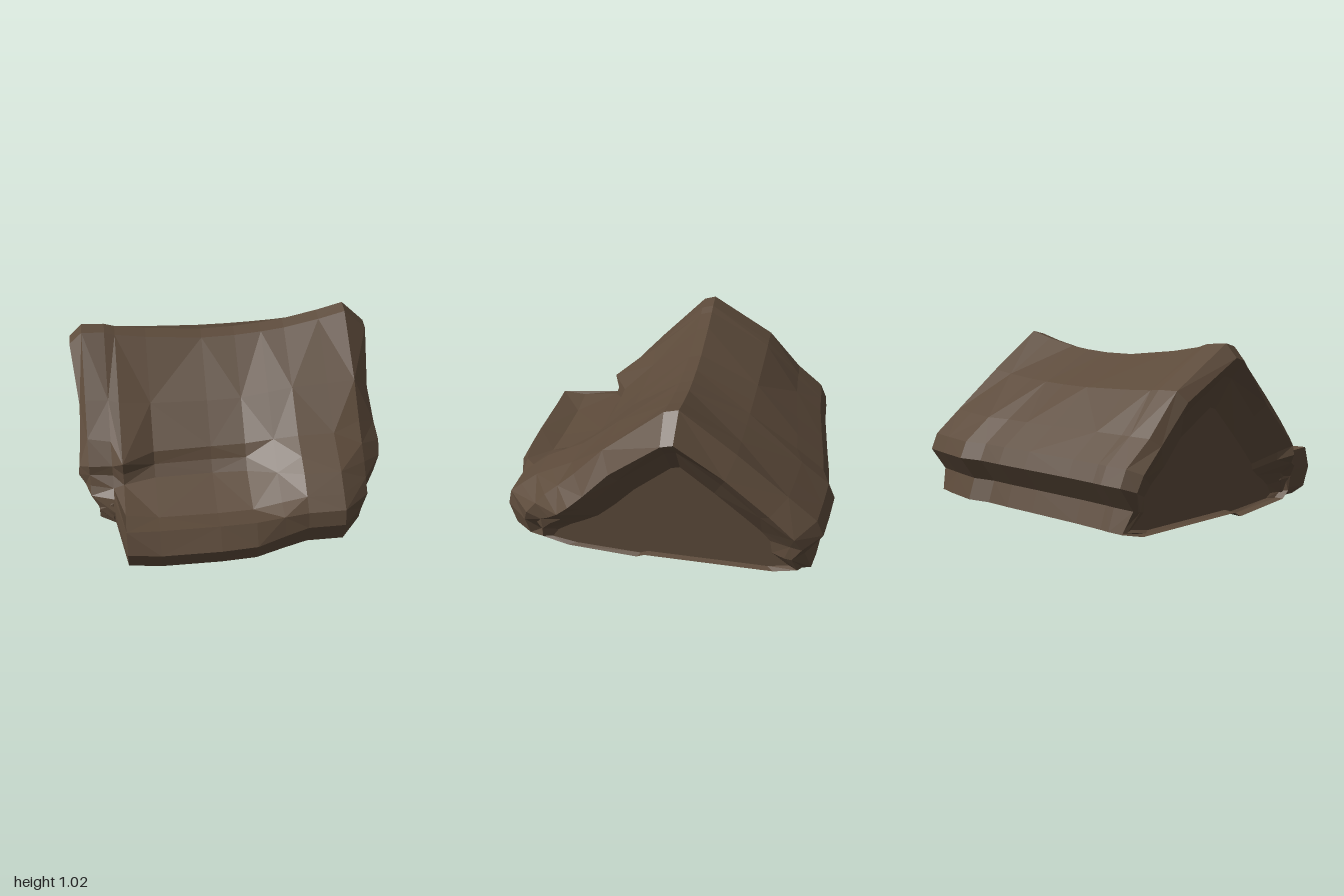
import * as THREE from 'three';

// Front half of a section as [z, y] pairs, from mid slope down to the underside
const LEDGE = [[.24, .66], [.43, .45], [.46, .38], [.51, .32], [.78, .245], [.93, .28], [1.0, .16], [.95, .04], [.8, 0]];
const CORNER = [[.27, .69], [.55, .455], [.53, .37], [.55, .31], [.78, .28], [.93, .29], [.97, .16], [.92, .04], [.8, .01]];
const CLOSED = [[.25, .72], [.48, .52], [.6, .46], [.7, .41], [.8, .33], [.87, .27], [.89, .18], [.85, .05], [.65, .02]];
const RIGHT = [[.25, .70], [.4, .54], [.5, .42], [.5, .36], [.52, .30], [.55, .25], [.57, .18], [.55, .09], [.5, .05]];
const LEFT = [[.25, .72], [.42, .55], [.52, .46], [.6, .39], [.66, .32], [.72, .25], [.75, .17], [.72, .08], [.55, .04]];
// Back half, from the underside up over the overhanging hem to the upper slope
const BACK = [[.1, .015], [.05, .045], [-.8, .05], [-.95, .09], [-.91, .21], [-1, .34], [-.96, .43], [-.8, .56], [-.48, .78]];

const mix = (a, b, t) => a.map((p, i) => [p[0] + (b[i][0] - p[0]) * t, p[1] + (b[i][1] - p[1]) * t]);

// One closed section across the ridge; sag lowers the slopes, backShift moves the rear hem
function section(x, ridge, front, backShift) {
  const drop = ridge - 1;
  const turn = (x + .8) / 1.55;
  const sag = ([z, y]) => [z, y > .5 ? y + drop * (y - .5) * 1.4 : y];
  const points = [
    [-.1 - .07 * turn, ridge], [-.03 - .06 * turn, ridge - .02],
    ...front.map(sag),
    ...BACK.map(([z, y]) => sag([z < -.7 ? z + backShift : z, y])),
  ];
  return points.map(([z, y]) => new THREE.Vector3(y < .2 && Math.abs(x) > .7 ? x * .95 : x, y, z));
}

// Shrink an end section into the turned rim or the recessed gable.
// Low points keep their depth; taper draws the foot, corners and waist inward.
function endRing(ring, x, scale, zCentre, taper) {
  return ring.map((p) => {
    const y = .08 + (p.y - .08) * scale;
    const low = Math.max(0, 1 - (p.y - .08) / .3);
    const zScale = scale + (1 - scale) * Math.min(low, 1) * .6;
    const z = zCentre + (p.z - zCentre) * zScale;
    const inward = .6 * Math.max(0, .33 - y) + .3 * Math.max(0, z - .42)
      + .35 * Math.max(0, -.8 - z) + .05 * Math.max(0, 1 - Math.abs(y - .6) / .25);
    return new THREE.Vector3(x - Math.sign(x) * inward * taper, y, z);
  });
}

// Join sections into one closed skin
function loft(rings) {
  const pos = [];
  const tri = (...v) => v.forEach((p) => pos.push(p.x, p.y, p.z));
  const n = rings[0].length;
  for (let i = 0; i < rings.length - 1; i++) {
    for (let j = 0; j < n; j++) {
      const k = (j + 1) % n;
      const a = rings[i][j], b = rings[i + 1][j], c = rings[i][k], d = rings[i + 1][k];
      if ((i + j) % 2) {
        tri(a, c, b);
        tri(b, c, d);
      } else {
        tri(a, c, d);
        tri(a, d, b);
      }
    }
  }
  // Gable walls
  [[rings[0], true], [rings[rings.length - 1], false]].forEach(([ring, flip]) => {
    const centre = new THREE.Vector3(ring[0].x, .25, -.15);
    for (let j = 0; j < n; j++) {
      const k = (j + 1) % n;
      if (flip) tri(centre, ring[k], ring[j]);
      else tri(centre, ring[j], ring[k]);
    }
  });
  const geometry = new THREE.BufferGeometry();
  geometry.setAttribute('position', new THREE.Float32BufferAttribute(pos, 3));
  geometry.computeVertexNormals();
  return geometry;
}

export function createModel() {
  const model = new THREE.Group();
  const hide = new THREE.MeshStandardMaterial({ color: 0x5c4a3a, flatShading: true, side: THREE.DoubleSide });
  hide.name = 'dark brown hide';

  // Sections from the model's right to its left
  const body = [
    section(-.82, 1.01, RIGHT, .12),
    section(-.69, 1.0, mix(RIGHT, CORNER, .15), .11),
    section(-.63, .98, CORNER, .11),
    section(-.45, .95, mix(LEDGE, CORNER, .1), .1),
    section(-.12, .915, LEDGE, .07),
    section(.08, .915, mix(LEDGE, CLOSED, .1), .05),
    section(.24, .925, mix(LEDGE, CLOSED, .6), .04),
    section(.38, .94, CLOSED, 0),
    section(.59, .98, CLOSED, .02),
    section(.75, 1.02, LEFT, .04),
  ];
  const first = body[0], last = body[body.length - 1];
  const rings = [
    endRing(first, -.73, .62, -.15, 0),
    endRing(first, -.82, .81, -.13, .4),
    endRing(first, -.895, .92, -.11, 1),
    ...body,
    endRing(last, .89, .86, -.15, 1),
    endRing(last, .82, .77, -.16, .4),
    endRing(last, .72, .61, -.17, 0),
  ];

  const shelter = new THREE.Mesh(loft(rings), hide);
  shelter.name = 'drapedShelter';
  model.add(shelter);

  // Crumpled fold where the ledge meets the wall
  const fold = new THREE.Mesh(new THREE.IcosahedronGeometry(.1, 0), hide);
  fold.name = 'cornerFold';
  fold.scale.set(.9, 1.1, 1);
  fold.position.set(-.7, .17, .53);
  model.add(fold);

  return model;
}
